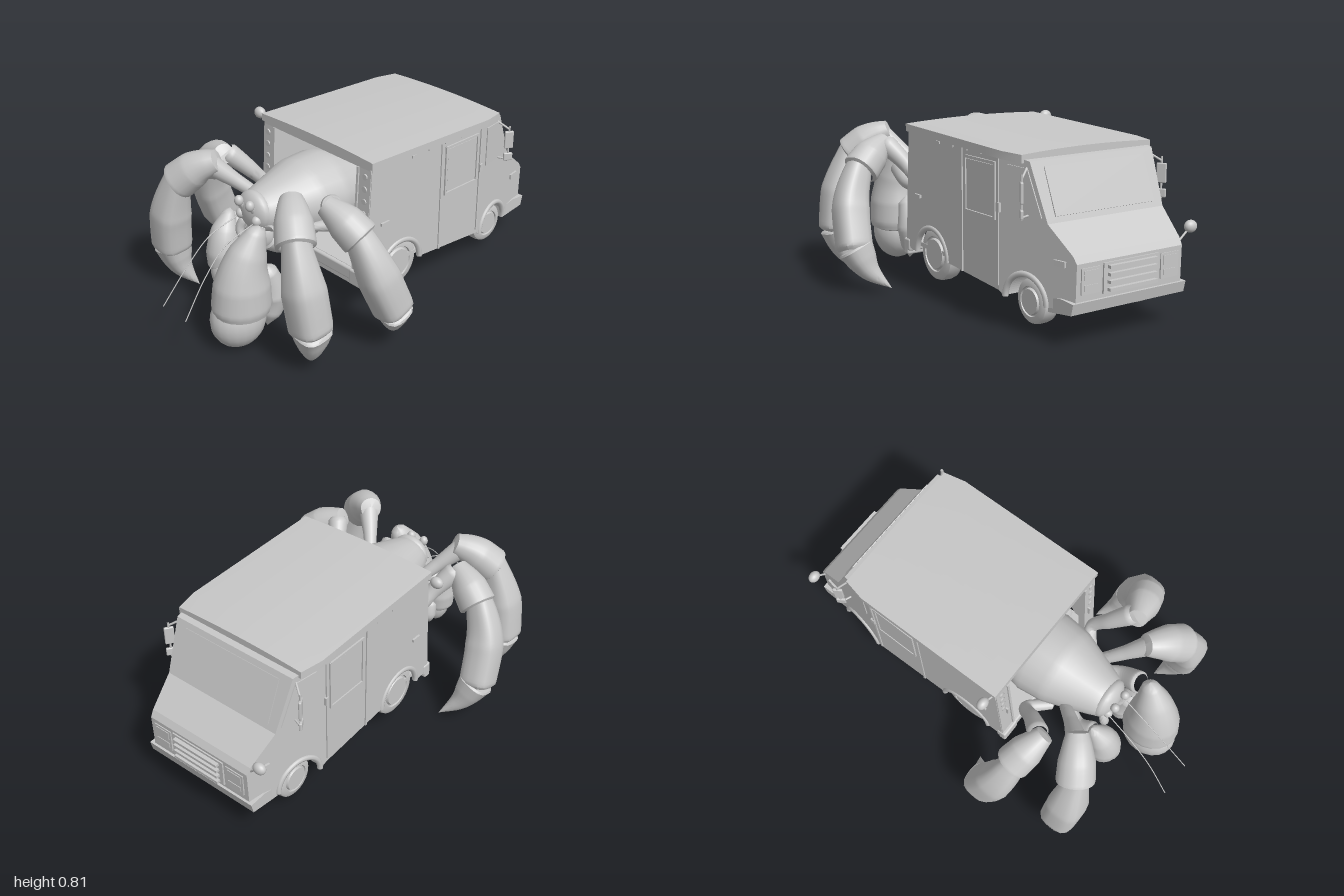
import * as THREE from 'three';
import { mergeVertices, toCreasedNormals } from 'three/addons/utils/BufferGeometryUtils.js';
import { RoundedBoxGeometry } from 'three/addons/geometries/RoundedBoxGeometry.js';

const V = (a) => new THREE.Vector3(...a);

export function createModel() {
  const root = new THREE.Group();
  root.name = 'hermitCrabVan';
  const clay = new THREE.MeshStandardMaterial({ color: 0xc8c8c8 });
  clay.name = 'clay grey';

  const add = (name, geo, pos = [0, 0, 0], rot = [0, 0, 0], parent = root) => {
    const m = new THREE.Mesh(geo, clay);
    m.name = name;
    m.position.set(...pos);
    m.rotation.set(...rot);
    parent.add(m);
    return m;
  };
  const box = (name, size, pos, rot) => add(name, new THREE.BoxGeometry(...size), pos, rot);
  const rounded = (name, size, r, pos, rot) => add(name, new RoundedBoxGeometry(...size, 2, r), pos, rot);
  const rod = (name, a, b, r) => add(name, new THREE.TubeGeometry(new THREE.LineCurve3(V(a), V(b)), 1, r, 8));
  const ball = (name, pos, size) => add(name, new THREE.SphereGeometry(1, 20, 14), pos).scale.set(...size);

  // Organic segment: a tube along a curve whose radius follows [t, radius] keys.
  // An exponent above 2 squares off the cross-section.
  const limb = (name, pts, keys, steps = 28, squash = [1, 1, 1], exponent = 2) => {
    const curve = new THREE.CatmullRomCurve3(pts.map(V));
    const sides = 20;
    const geo = new THREE.TubeGeometry(curve, steps, 1, sides);
    const p = geo.attributes.position, v = new THREE.Vector3();
    for (let i = 0; i <= steps; i++) {
      const t = i / steps, c = curve.getPointAt(t);
      let k = 0;
      while (k < keys.length - 2 && t > keys[k + 1][0]) k++;
      const [t0, r0] = keys[k], [t1, r1] = keys[k + 1];
      const s = THREE.MathUtils.clamp((t - t0) / (t1 - t0), 0, 1);
      const r = Math.max(r0 + (r1 - r0) * s, 0.0005);
      for (let j = 0; j <= sides; j++) {
        const n = i * (sides + 1) + j;
        v.fromBufferAttribute(p, n).sub(c);
        const sum = v.toArray().reduce((a, d) => a + Math.abs(d) ** exponent, 0);
        v.multiplyScalar(r * sum ** (-1 / exponent));
        p.setXYZ(n, c.x + v.x * squash[0], c.y + v.y * squash[1], c.z + v.z * squash[2]);
      }
    }
    geo.deleteAttribute('uv');
    geo.deleteAttribute('normal');
    return add(name, toCreasedNormals(mergeVertices(geo, 1e-5), 0.75));
  };

  // Side profile (z, y) extruded across x from x0 to x1
  const profile = (shape, x0, x1) => {
    const g = new THREE.ExtrudeGeometry(shape, { depth: x1 - x0, bevelEnabled: false, curveSegments: 20 });
    return g.rotateY(-Math.PI / 2).translate(x1, 0, 0);
  };
  const polygon = (pts) => new THREE.Shape(pts.map((p) => new THREE.Vector2(...p)));
  const taper = (g) => {
    const p = g.attributes.position;
    for (let i = 0; i < p.count; i++) p.setX(i, p.getX(i) * (1 + (p.getZ(i) + 0.55) * 0.5));
    g.computeVertexNormals();
    return g;
  };

  // Cargo walls with rear wheel arches
  const wall = new THREE.Shape();
  wall.moveTo(0.215, 0.2).lineTo(0.13, 0.2);
  wall.absarc(-0.01, 0.2, 0.14, 0, Math.PI, false);
  wall.lineTo(-0.55, 0.168).lineTo(-0.55, 0.76).lineTo(0.18, 0.785);
  for (const x of [-0.365, 0.345]) add('cargoWall', profile(wall, x, x + 0.02));

  // Cab with front wheel arches, narrowing towards the nose
  const cab = new THREE.Shape();
  cab.moveTo(-0.55, 0.168).lineTo(-0.575, 0.15);
  cab.absarc(-0.7, 0.15, 0.125, 0, Math.PI, false);
  cab.lineTo(-0.97, 0.17).lineTo(-0.975, 0.36).lineTo(-0.955, 0.39).lineTo(-0.82, 0.5);
  cab.lineTo(-0.72, 0.745).lineTo(-0.55, 0.765);
  add('cab', taper(profile(cab, -0.365, 0.365)));
  const sideWindow = polygon([[-0.6, 0.52], [-0.6, 0.72], [-0.71, 0.715], [-0.79, 0.52]]);
  add('cabSideWindows', taper(profile(sideWindow, -0.37, 0.37)));
  box('windshield', [0.54, 0.21, 0.006], [0, 0.622, -0.772], [0.395, 0, 0]);

  // Crowned roof, sloping gently to the front with its front corners drawn in
  const roof = new THREE.Shape();
  roof.moveTo(-0.375, 0.765).lineTo(0.375, 0.765).lineTo(0.375, 0.8);
  roof.quadraticCurveTo(0, 0.822, -0.375, 0.8);
  const roofGeo = new THREE.ExtrudeGeometry(roof, { depth: 0.88, steps: 8, bevelEnabled: false });
  roofGeo.translate(0, 0, -0.69);
  const rp = roofGeo.attributes.position;
  for (let i = 0; i < rp.count; i++) {
    const z = rp.getZ(i);
    rp.setY(i, rp.getY(i) + (z - 0.19) * 0.034);
    if (z < -0.6) rp.setX(i, rp.getX(i) * 0.94);
  }
  add('roof', toCreasedNormals(roofGeo, 0.4));

  // Floor, bulkhead, open rear frame and step bumper
  box('floor', [0.7, 0.02, 0.77], [0, 0.225, -0.17], [-0.03, 0, 0]);
  box('bulkhead', [0.7, 0.56, 0.02], [0, 0.48, -0.54]);
  box('rearHeader', [0.72, 0.02, 0.03], [0, 0.765, 0.172]);
  rounded('rearBumper', [0.74, 0.06, 0.05], 0.01, [0, 0.215, 0.207]);
  box('bumperSkirt', [0.5, 0.03, 0.04], [0, 0.165, 0.19]);
  for (const s of [-1, 1]) {
    box('rearPillar', [0.075, 0.55, 0.025], [s * 0.325, 0.49, 0.19], [-0.06, 0, 0]);
    box('pillarLip', [0.012, 0.53, 0.035], [s * 0.285, 0.49, 0.192], [-0.06, 0, 0]);
    rounded('bumperStep', [0.1, 0.08, 0.04], 0.01, [s * 0.32, 0.205, 0.215]);
    for (let i = 0; i < 4; i++)
      add('rearLamp', new THREE.CylinderGeometry(0.014, 0.014, 0.01, 14), [s * 0.33, 0.72 - i * 0.06, 0.19 + i * 0.003], [Math.PI / 2, 0, 0]);
    box('doorLatch', [0.008, 0.06, 0.02], [s * 0.315, 0.48, 0.205]);

    // Side door, window frame, trim and handles
    const x = s * 0.367;
    for (const z of [-0.27, -0.545]) box('doorSeam', [0.008, 0.56, 0.01], [x, 0.47, z]);
    for (const z of [-0.3, -0.52]) box('windowFrame', [0.012, 0.25, 0.012], [x, 0.595, z]);
    for (const y of [0.475, 0.715]) box('windowFrame', [0.012, 0.012, 0.22], [x, y, -0.41]);
    box('windowPane', [0.006, 0.22, 0.2], [x, 0.595, -0.41]);
    box('doorHandle', [0.018, 0.04, 0.02], [x, 0.53, -0.55]);
    box('sideLatch', [0.016, 0.015, 0.05], [x, 0.47, 0.1]);
    box('sideMarker', [0.02, 0.025, 0.06], [s * 0.303, 0.35, -0.89], [0, s * 0.18, 0]);
    for (let i = 0; i < 5; i++) box('roofMarker', [0.008, 0.012, 0.025], [x, 0.745, -0.08 - i * 0.11]);

    // Wheels with broad hubs and arch flares
    for (const [z, y, r, wx, ar, ay] of [[-0.01, 0.21, 0.127, 0.305, 0.134, 0.2], [-0.7, 0.145, 0.1, 0.27, 0.118, 0.15]]) {
      const wheel = new THREE.Group();
      wheel.name = 'wheel';
      wheel.position.set(s * wx, y, z);
      wheel.rotation.z = -s * Math.PI / 2;
      root.add(wheel);
      const tire = [[0.001, -0.04], [0.85, -0.04], [0.96, -0.032], [1, -0.015], [1, 0.018], [0.96, 0.034], [0.85, 0.042], [0.66, 0.044], [0.64, 0.036], [0.001, 0.036]];
      add('tire', toCreasedNormals(new THREE.LatheGeometry(tire.map(([a, b]) => new THREE.Vector2(a * r, b)), 32), 0.6), [0, 0, 0], [0, 0, 0], wheel);
      add('hub', new THREE.CylinderGeometry(r * 0.54, r * 0.6, 0.014, 24), [0, 0.04, 0], [0, 0, 0], wheel);
      add('archFlare', new THREE.TorusGeometry(ar, 0.014, 8, 24, Math.PI), [s * (z < -0.5 ? 0.335 : 0.36), ay, z], [0, Math.PI / 2 + (z < -0.5 ? s * 0.18 : 0), 0]);
    }

    // Wing mirrors
    const mx = s * 0.385;
    rod('mirrorArm', [s * 0.33, 0.72, -0.7], [mx, 0.68, -0.735], 0.005);
    rod('mirrorArm', [mx, 0.7, -0.735], [mx, 0.51, -0.735], 0.005);
    rod('mirrorArm', [s * 0.32, 0.52, -0.71], [mx, 0.52, -0.735], 0.005);
    rounded('wingMirror', [0.045, 0.09, 0.014], 0.005, [mx, 0.625, -0.735], [0, s, 0]);
    rounded('wingMirror', [0.045, 0.04, 0.014], 0.005, [mx, 0.535, -0.735], [0, s, 0]);

    // Headlamps
    box('headlampFrame', [0.1, 0.11, 0.012], [s * 0.215, 0.285, -0.973]);
    box('headlamp', [0.075, 0.04, 0.01], [s * 0.215, 0.31, -0.977]);
    box('turnLamp', [0.075, 0.025, 0.01], [s * 0.215, 0.257, -0.977]);
  }
  // Round mirrors on the right side, one at each end
  for (const [a, b] of [[[-0.33, 0.76, 0.18], [-0.425, 0.78, 0.16]], [[-0.28, 0.36, -0.95], [-0.35, 0.43, -0.96]]]) {
    rod('roundMirrorStalk', a, b, 0.005);
    ball('roundMirror', b, [0.032, 0.028, 0.024]);
  }

  // Grille and front bumper
  for (let i = 0; i < 4; i++) box('grilleBar', [0.26, 0.013, 0.02], [0, 0.235 + i * 0.032, -0.99]);
  box('grillePanel', [0.3, 0.13, 0.01], [0, 0.283, -0.976]);
  add('frontBumper', profile(polygon([[-0.82, 0.13], [-0.97, 0.15], [-0.982, 0.2], [-0.9, 0.205], [-0.82, 0.19]]), -0.31, 0.31));

  // Underside pans and axles
  for (const s of [-1, 1]) {
    rounded('underPan', [0.27, 0.04, 0.3], 0.015, [s * 0.15, 0.185, -0.4]);
    rounded('underPan', [0.25, 0.04, 0.24], 0.015, [s * 0.13, 0.19, 0.03]);
  }
  box('driveTunnel', [0.07, 0.05, 0.9], [0, 0.19, -0.35]);
  rod('rearAxle', [-0.29, 0.2, -0.01], [0.29, 0.2, -0.01], 0.025);
  rod('frontAxle', [-0.26, 0.145, -0.7], [0.26, 0.145, -0.7], 0.02);

  // Crab body reaching out of the van
  limb('crabBody', [[0, 0.47, -0.25], [0, 0.51, 0], [0, 0.535, 0.2], [0, 0.545, 0.4], [0, 0.56, 0.6]],
    [[0, 0], [0.08, 0.09], [0.25, 0.17], [0.5, 0.208], [0.65, 0.194], [0.8, 0.148], [0.92, 0.11], [0.97, 0.085], [1, 0]], 40, [1, 0.9, 1]);
  ball('underBelly', [0, 0.43, 0.32], [0.12, 0.1, 0.2]);
  ball('face', [0, 0.56, 0.55], [0.1, 0.095, 0.05]);
  ball('jaw', [0, 0.44, 0.52], [0.075, 0.085, 0.06]);
  for (const s of [-1, 1]) {
    rod('eyeStalk', [s * 0.03, 0.54, 0.56], [s * 0.038, 0.61, 0.605], 0.013);
    ball('eye', [s * 0.038, 0.615, 0.608], [0.021, 0.025, 0.021]);
    ball('antennaBase', [s * 0.055, 0.54, 0.585], [0.022, 0.025, 0.025]);
    limb('mouthpart', [[s * 0.05, 0.52, 0.56], [s * 0.07, 0.45, 0.585], [s * 0.03, 0.38, 0.575]], [[0, 0], [0.1, 0.022], [0.7, 0.02], [1, 0]], 12);
  }
  for (const path of [[[-0.06, 0.53, 0.6], [-0.08, 0.47, 0.75], [-0.09, 0.36, 0.87], [-0.11, 0.2, 0.998]],
    [[0.05, 0.53, 0.6], [0.035, 0.47, 0.75], [0.04, 0.36, 0.87], [0.055, 0.2, 0.998]]])
    add('antenna', new THREE.TubeGeometry(new THREE.CatmullRomCurve3(path.map(V)), 20, 0.0025, 6));

  // Walking legs: thin base, flared upper segment, squarish shin and pointed foot, mirrored
  const cuff = (a, b, c) => [[0, 0], [0.03, a * 0.8], [0.2, a], [0.55, b], [0.96, c], [1, c * 0.8]];
  const claw = (r) => [[0, 0], [0.04, r], [0.3, r * 0.8], [0.65, r * 0.42], [1, 0]];
  for (const s of [-1, 1]) {
    const leg = (name, pts, keys, exponent) =>
      limb(name, pts.map(([x, y, z]) => [s * x, y, z]), keys, 28, [1, 1, 1], exponent);
    leg('frontLegBase', [[0.12, 0.5, 0.38], [0.2, 0.6, 0.48], [0.29, 0.7, 0.58]], cuff(0.028, 0.034, 0.05), 2);
    leg('frontLegUpper', [[0.25, 0.72, 0.55], [0.33, 0.675, 0.61], [0.415, 0.59, 0.67]], cuff(0.06, 0.08, 0.085), 2.4);
    leg('frontLegShin', [[0.4, 0.65, 0.665], [0.47, 0.42, 0.68], [0.502, 0.21, 0.668]], cuff(0.062, 0.087, 0.086), 3.2);
    leg('frontLegFoot', [[0.502, 0.235, 0.668], [0.473, 0.11, 0.645], [0.41, 0.002, 0.588]], claw(0.082), 3.2);
    leg('rearLegBase', [[0.15, 0.46, 0.36], [0.25, 0.49, 0.27], [0.3, 0.59, 0.34], [0.36, 0.68, 0.42]], cuff(0.028, 0.034, 0.05), 2);
    leg('rearLegUpper', [[0.34, 0.685, 0.445], [0.425, 0.635, 0.42], [0.515, 0.56, 0.39]], cuff(0.055, 0.078, 0.083), 2.4);
    leg('rearLegShin', [[0.495, 0.62, 0.41], [0.58, 0.42, 0.365], [0.613, 0.2, 0.28]], cuff(0.062, 0.082, 0.08), 3.2);
    leg('rearLegFoot', [[0.613, 0.225, 0.285], [0.56, 0.11, 0.235], [0.48, 0.025, 0.165]], claw(0.076), 3.2);
  }

  // Large left claw and small right claw, each hanging with two closed fingers
  limb('bigClawArm', [[0.1, 0.44, 0.4], [0.16, 0.45, 0.52], [0.16, 0.52, 0.62]], cuff(0.035, 0.045, 0.055));
  limb('bigClawPalm', [[0.165, 0.59, 0.66], [0.135, 0.4, 0.73], [0.122, 0.17, 0.745]],
    [[0, 0], [0.04, 0.035], [0.3, 0.08], [0.65, 0.118], [0.9, 0.126], [0.97, 0.118], [1, 0.09]], 32, [1, 1, 1.12]);
  ball('bigClawFinger', [0.11, 0.14, 0.755], [0.112, 0.138, 0.135]);
  limb('bigClawThumb', [[0.13, 0.36, 0.61], [0.13, 0.19, 0.57], [0.12, 0.03, 0.6]], [[0, 0], [0.1, 0.045], [0.5, 0.07], [0.8, 0.05], [1, 0]]);
  limb('smallClawArm', [[-0.1, 0.43, 0.4], [-0.15, 0.42, 0.5], [-0.14, 0.47, 0.58]], cuff(0.03, 0.035, 0.04));
  limb('smallClawPalm', [[-0.155, 0.52, 0.57], [-0.133, 0.4, 0.63], [-0.125, 0.25, 0.64]],
    [[0, 0], [0.05, 0.025], [0.35, 0.062], [0.7, 0.081], [0.95, 0.077], [1, 0.055]]);
  ball('smallClawFinger', [-0.11, 0.245, 0.65], [0.062, 0.095, 0.068]);
  limb('smallClawThumb', [[-0.13, 0.33, 0.57], [-0.13, 0.23, 0.55], [-0.115, 0.16, 0.59]], [[0, 0], [0.15, 0.032], [0.5, 0.038], [1, 0]], 14);

  return root;
}
